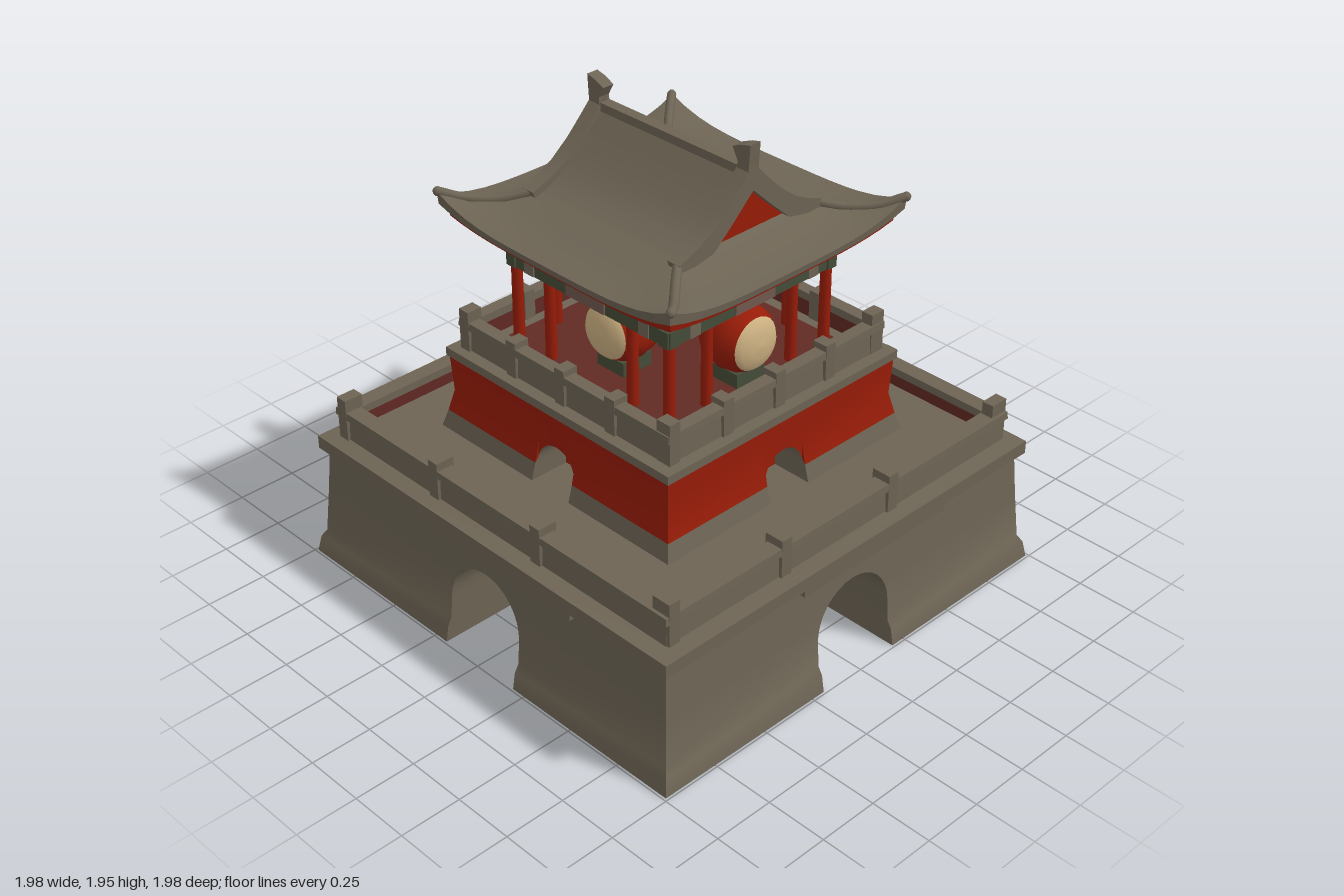
import * as THREE from 'three';
import { toCreasedNormals } from 'three/addons/utils/BufferGeometryUtils.js';

const mat = (name, color) => Object.assign(new THREE.MeshStandardMaterial({ color }), { name });

export function createModel() {
  const stone = mat('stone', 0x6d6454), red = mat('red', 0x981c08), cream = mat('cream', 0xcdb182);
  const green = mat('green', 0x454c38), dusty = mat('dustyPink', 0x70584e), maroon = mat('maroon', 0x622a24);
  const model = new THREE.Group();

  function add(name, geometry, material, parent = model) {
    const mesh = new THREE.Mesh(geometry, material);
    mesh.name = name;
    parent.add(mesh);
    return mesh;
  }
  function box(name, material, w, h, d, x, y, z, parent = model) {
    const mesh = add(name, new THREE.BoxGeometry(w, h, d), material, parent);
    mesh.position.set(x, y, z);
    return mesh;
  }
  // Four groups, one turned to each side
  function eachSide(name, build) {
    for (let k = 0; k < 4; k++) {
      const side = new THREE.Group();
      side.name = name;
      side.rotation.y = k * Math.PI / 2;
      model.add(side);
      build(side);
    }
  }
  // Grid surface: point(i, j) returns a position; the normal is i-direction x j-direction
  function grid(ni, nj, point) {
    const pos = [], index = [];
    for (let j = 0; j <= nj; j++) for (let i = 0; i <= ni; i++) pos.push(...point(i, j));
    for (let j = 0; j < nj; j++) for (let i = 0; i < ni; i++) {
      const a = j * (ni + 1) + i, d = a + ni + 1;
      index.push(a, a + 1, d + 1, a, d + 1, d);
    }
    const g = new THREE.BufferGeometry();
    g.setAttribute('position', new THREE.Float32BufferAttribute(pos, 3));
    g.setIndex(index);
    return toCreasedNormals(g, 0.5);
  }
  // Rectangular loft; each row is [halfX, halfZ, y, cornerLift]
  function loft(name, material, rows, n = 1) {
    const corners = [[-1, 1], [1, 1], [1, -1], [-1, -1]];
    return add(name, grid(4 * n, rows.length - 1, (i, j) => {
      const [hx, hz, y, lift = 0] = rows[j];
      const a = corners[Math.floor(i / n) % 4], b = corners[(Math.floor(i / n) + 1) % 4], t = (i % n) / n;
      return [hx * (a[0] + (b[0] - a[0]) * t), y + lift * Math.abs(2 * t - 1) ** 4, hz * (a[1] + (b[1] - a[1]) * t)];
    }), material);
  }
  // Square block pierced by two crossing arched tunnels; levels are [y, half]
  function archedBlock(name, bands, r, spring, apex, under) {
    const levels = bands.flatMap(b => b.levels), base = levels[0][0];
    const half = y => {
      for (let k = 1; k < levels.length; k++) {
        const [y0, h0] = levels[k - 1], [y1, h1] = levels[k];
        if (y <= y1 && y1 > y0) return h0 + (h1 - h0) * (y - y0) / (y1 - y0);
      }
      return levels.at(-1)[1];
    };
    const jamb = levels.map(l => l[0]).filter(y => y < spring);
    const cols = [[-1, base], ...jamb.map(y => [-r, y])];
    for (let k = 0; k <= 16; k++) {
      const a = Math.PI * (1 - k / 16);
      cols.push([r * Math.cos(a), spring + (apex - spring) * Math.sin(a)]);
    }
    cols.push(...jamb.reverse().map(y => [r, y]), [1, base]);
    const n = cols.length - 1;
    const at = (i, y) => (i === 0 || i === n ? cols[i][0] * half(y) : cols[i][0]);
    for (const { levels: rows, material } of bands) eachSide(name + 'Side', side => {
      add(name + 'Wall', grid(n, rows.length - 1, (i, j) => {
        const y = Math.max(rows[j][0], cols[i][1]);
        return [at(i, y), y, half(y)];
      }), material, side);
    });
    add(name + 'Vault', grid(n, n, (i, j) => {
      const y = Math.max(cols[i][1], cols[j][1]);
      return [at(i, y), y, at(j, y)];
    }), under);
  }
  // Balustrade with posts on all four sides
  function balustrade(name, out, inn, y0, y1, floor, posts, top) {
    loft(name, stone, [[out, out, y0], [out - 0.005, out - 0.005, y1 - 0.035], [out + 0.01, out + 0.01, y1 - 0.03],
      [out + 0.008, out + 0.008, y1], [inn, inn, y1], [inn, inn, floor], [0, 0, floor]]);
    loft(name + 'InnerBand', maroon, [[inn - 0.003, inn - 0.003, y1 - 0.03], [inn - 0.003, inn - 0.003, floor]]);
    const c = (out + inn) / 2;
    eachSide(name + 'Posts', side => posts.forEach((x, p) => {
      const h = p === 0 ? top : top - 0.02;
      box('post', stone, 0.05, h - y0, out - inn + 0.02, x * c, (h + y0) / 2, c, side);
    }));
  }

  // Gate base with crossing passages
  archedBlock('gateBase', [{ material: stone, levels: [[0, 0.99], [0.07, 0.978], [0.1, 0.96], [0.3, 0.944], [0.5, 0.93]] }],
    0.19, 0.2, 0.39, stone);
  loft('baseCornice', stone, [[0.92, 0.92, 0.47], [0.96, 0.96, 0.49], [0.96, 0.96, 0.545], [0.88, 0.88, 0.555]]);
  eachSide('baseLedge', side => box('ledge', stone, 0.76, 0.035, 0.03, 0.1, 0.48, 0.945, side));
  balustrade('lowerBalustrade', 0.895, 0.835, 0.54, 0.677, 0.6, [-1, -0.37, 0.28], 0.73);

  // Red middle storey on a stone plinth, with arched niches
  archedBlock('middleStorey', [
    { material: stone, levels: [[0.595, 0.62], [0.67, 0.6]] },
    { material: red, levels: [[0.67, 0.588], [0.76, 0.58], [0.91, 0.588]] },
  ], 0.1, 0.67, 0.775, stone);
  box('nicheBack', red, 0.9, 0.28, 0.9, 0, 0.74, 0);
  loft('upperCornice', stone, [[0.57, 0.57, 0.9], [0.597, 0.597, 0.915], [0.597, 0.597, 0.95], [0.52, 0.52, 0.955]]);
  balustrade('upperBalustrade', 0.55, 0.505, 0.95, 1.075, 0.98, [-1, -0.5, 0, 0.5], 1.12);
  box('pavilionFloor', maroon, 0.9, 0.008, 0.9, 0, 0.983, 0);

  // Twelve columns around the pavilion
  const spots = [-0.4, -0.22, 0.215, 0.4];
  for (const x of spots) for (const z of spots) {
    if (Math.abs(x) < 0.3 && Math.abs(z) < 0.3) continue;
    add('column', new THREE.CylinderGeometry(0.021, 0.023, 0.46, 12), red).position.set(x, 1.2, z);
  }
  // Painted beams
  eachSide('beam', side => {
    box('beamCore', green, 0.86, 0.065, 0.045, 0, 1.343, 0.4, side);
    for (const z of [0.374, 0.426]) {
      box('beamCentre', dusty, 0.2, 0.06, 0.006, 0, 1.343, z, side);
      for (const s of [-1, 1]) box('beamPatch', stone, 0.05, 0.06, 0.006, s * 0.3, 1.343, z, side);
    }
  });

  // Drums at the front, left and back
  const shellPts = [[0, -0.12], [0.085, -0.115], [0.12, -0.07], [0.134, 0], [0.126, 0.055], [0.106, 0.09]];
  const facePts = [[0.106, 0.09], [0.088, 0.11], [0.045, 0.121], [0, 0.125]];
  const lathe = pts => new THREE.LatheGeometry(pts.map(p => new THREE.Vector2(...p)), 24).rotateX(Math.PI / 2);
  for (const [angle, d] of [[0, 0.24], [Math.PI / 2, 0.34], [Math.PI, 0.24]]) {
    const drum = new THREE.Group();
    drum.name = 'drum';
    drum.rotation.y = angle;
    model.add(drum);
    add('drumShell', lathe(shellPts), red, drum).position.set(0, 1.158, d);
    add('drumFace', lathe(facePts), cream, drum).position.set(0, 1.158, d);
    box('drumStand', green, 0.14, 0.07, 0.14, 0, 1.01, d, drum);
  }

  // Eaves, from the bracketed soffit out to the upturned edge and up to the gable
  loft('ceiling', stone, [[0, 0, 1.398], [0.44, 0.44, 1.398]]);
  loft('soffitTrim', red, [[0.44, 0.44, 1.398], [0.442, 0.442, 1.41]]);
  loft('soffit', stone, [[0.442, 0.442, 1.41], [0.465, 0.46, 1.44, 0.005], [0.5, 0.49, 1.455, 0.01], [0.57, 0.56, 1.472, 0.03]], 16);
  loft('eaveBand', red, [[0.57, 0.56, 1.472, 0.03], [0.575, 0.565, 1.495, 0.04]], 16);
  loft('skirtRoof', stone, [[0.575, 0.565, 1.495, 0.04], [0.598, 0.588, 1.5, 0.05], [0.602, 0.592, 1.525, 0.075], [0.535, 0.51, 1.533, 0.033],
    [0.45, 0.42, 1.552, 0.01], [0.37, 0.33, 1.585], [0.34, 0.28, 1.6]], 16);

  // Gabled upper roof, extruded along x
  const slope = [[0, 1.84], [0.06, 1.775], [0.13, 1.703], [0.21, 1.638], [0.28, 1.602], [0.35, 1.576]];
  function gable(name, material, pts, width, x) {
    const mirrored = pts.filter(([z]) => z > 0).reverse().map(([z, y]) => [-z, y]);
    const shape = new THREE.Shape([...pts, ...mirrored].map(p => new THREE.Vector2(...p)));
    const g = new THREE.ExtrudeGeometry(shape, { depth: width, bevelEnabled: false });
    g.translate(0, 0, -width / 2).rotateY(Math.PI / 2).translate(x, 0, 0);
    return add(name, toCreasedNormals(g, 0.5), material);
  }
  gable('gableRoof', stone, [...slope, [0.33, 1.55]], 0.72, 0);
  for (const s of [-1, 1]) {
    // Raised verge with a red gable panel inside it
    gable('verge', stone, [...slope.map(([z, y]) => [z * 1.02, y + 0.028]), [0.34, 1.56], [0.19, 1.59], [0.1, 1.67], [0, 1.765]], 0.06, s * 0.375);
    gable('gablePanel', red, [[0, 1.775], [0.1, 1.68], [0.195, 1.593]], 0.008, s * 0.366);

    // Ridge finial
    const f = new THREE.Shape([[0.345, 1.8], [0.4, 1.8], [0.41, 1.945], [0.37, 1.935], [0.325, 1.915], [0.35, 1.87]]
      .map(p => new THREE.Vector2(...p)));
    const fin = add('ridgeFinial', new THREE.ExtrudeGeometry(f, { depth: 0.05, bevelEnabled: false }).translate(0, 0, -0.025), stone);
    if (s < 0) fin.rotation.y = Math.PI;

    // Hip ridges
    for (const t of [-1, 1]) {
      const path = new THREE.CatmullRomCurve3([[0.37, 1.595, 0.33], [0.45, 1.567, 0.42], [0.535, 1.57, 0.51], [0.602, 1.6, 0.588]]
        .map(([x, y, z]) => new THREE.Vector3(s * x, y, t * z)));
      add('hipRidge', new THREE.TubeGeometry(path, 12, 0.018, 8), stone);
      add('hipTip', new THREE.SphereGeometry(0.018, 8, 6), stone).position.set(s * 0.602, 1.6, t * 0.588);
    }
  }
  box('ridge', stone, 0.72, 0.05, 0.045, 0, 1.825, 0);
  return model;
}
